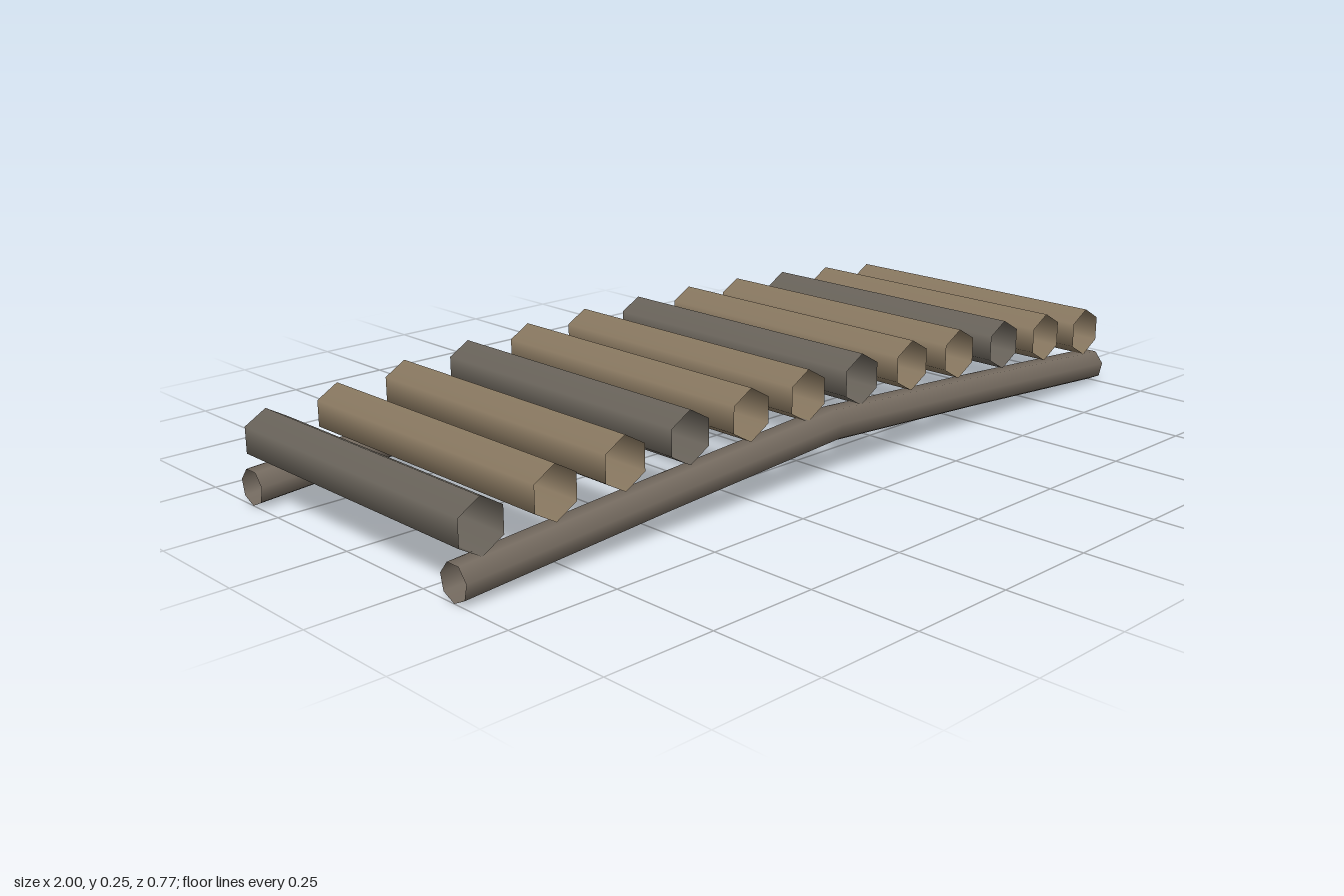
import * as THREE from 'three';

const material = (name, color) => {
  const m = new THREE.MeshStandardMaterial({ color, side: THREE.DoubleSide });
  m.name = name;
  return m;
};

export function createModel() {
  const group = new THREE.Group();
  group.name = 'logBridge';

  const tanWood = material('tanWood', 0x8b7a62);
  const greyWood = material('greyWood', 0x6b655c);
  const railWood = material('railWood', 0x756b60);

  // Long side beams: open seven-sided tubes, raised towards the middle
  const beam = new THREE.CylinderGeometry(0.04, 0.04, 2, 7, 4, true, -Math.PI / 2);
  beam.rotateZ(Math.PI / 2);
  const p = beam.attributes.position;
  for (let i = 0; i < p.count; i++) {
    const x = p.getX(i);
    p.setY(i, p.getY(i) + 0.107 - 0.059 * Math.abs(x) - 0.008 * x * x);
  }
  for (const side of [1, -1]) {
    const mesh = new THREE.Mesh(beam, railWood);
    mesh.name = side > 0 ? 'frontBeam' : 'backBeam';
    mesh.position.z = 0.345 * side;
    group.add(mesh);
  }

  // Cross logs: open hexagonal tubes following the arch, every third one grey
  const log = new THREE.CylinderGeometry(0.058, 0.058, 0.723, 6, 1, true);
  log.rotateX(Math.PI / 2);
  for (let i = 0; i < 12; i++) {
    const x = -0.946 + i * 0.172;
    const mesh = new THREE.Mesh(log, i % 3 === 0 ? greyWood : tanWood);
    mesh.name = `crossLog${i + 1}`;
    mesh.position.set(x, 0.194 - 0.063 * x * x, 0);
    group.add(mesh);
  }

  return group;
}
